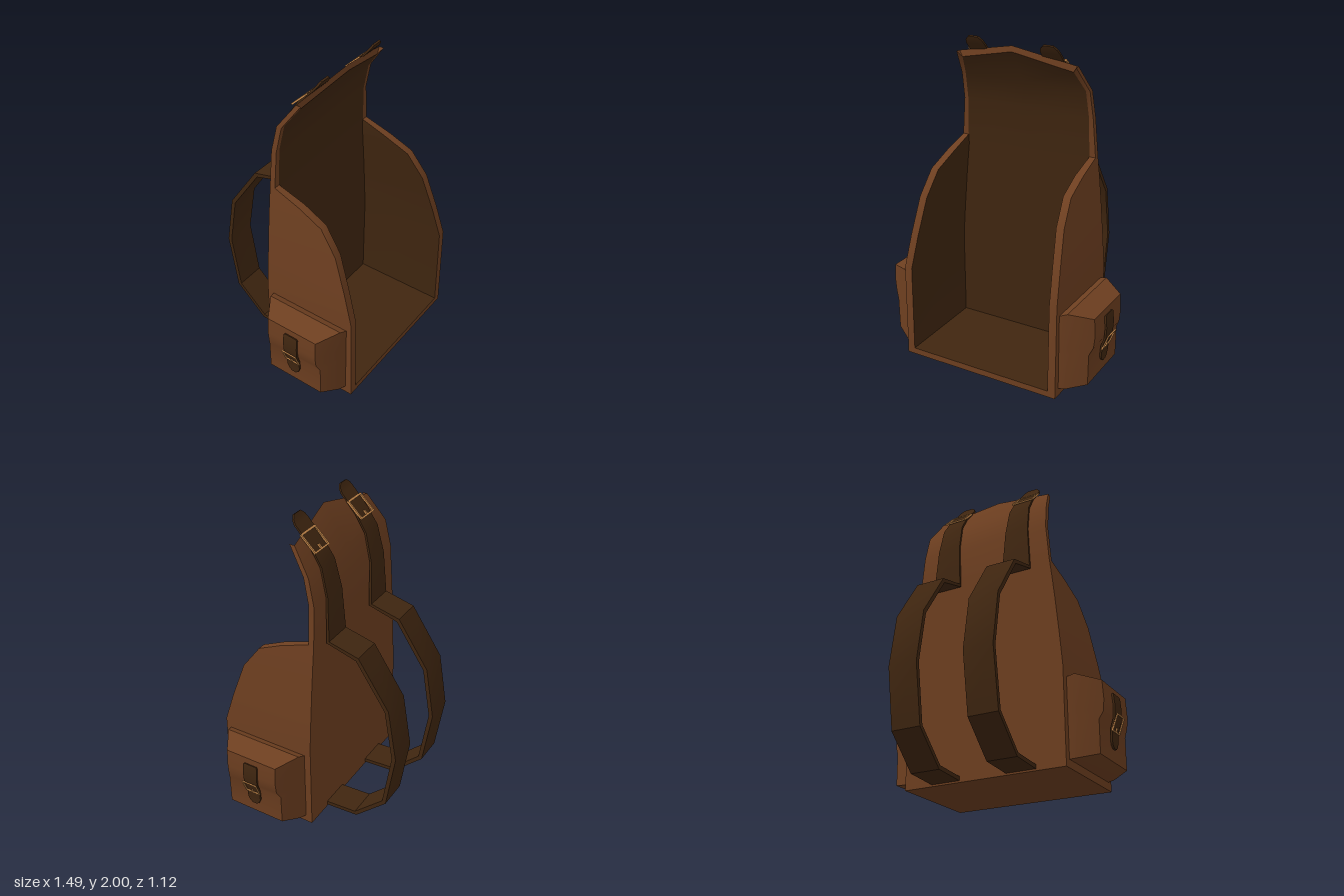
import * as THREE from 'three';
import { toCreasedNormals } from 'three/addons/utils/BufferGeometryUtils.js';

const leather = new THREE.MeshStandardMaterial({ color: 0x6e3f20 });
const darkLeather = new THREE.MeshStandardMaterial({ color: 0x402610 });
const brass = new THREE.MeshStandardMaterial({ color: 0xc88a4c });

// Surface through several grids of points (rows of equal length)
function surface(name, material, grids) {
  const pos = [];
  for (const rows of grids) {
    for (let i = 0; i < rows.length - 1; i++) {
      for (let j = 0; j < rows[i].length - 1; j++) {
        const a = rows[i][j], b = rows[i][j + 1], c = rows[i + 1][j + 1], d = rows[i + 1][j];
        pos.push(...a, ...b, ...c, ...a, ...c, ...d);
      }
    }
  }
  const geo = new THREE.BufferGeometry();
  geo.setAttribute('position', new THREE.Float32BufferAttribute(pos, 3));
  const mesh = new THREE.Mesh(toCreasedNormals(geo, 0.6), material);
  mesh.name = name;
  return mesh;
}

// Band along a path of [x, y, half width, thickness]; its width runs along z
function band(name, path) {
  const P = path.map(p => new THREE.Vector2(p[0], p[1]));
  const dir = (a, b) => P[b].clone().sub(P[a]).normalize();
  const rings = path.map(([x, y, w, t], i) => {
    const d1 = i > 0 ? dir(i - 1, i) : dir(0, 1);
    const d2 = i < P.length - 1 ? dir(i, i + 1) : d1;
    const d = d1.clone().add(d2).normalize();
    const h = t / 2 / Math.max(0.5, d.dot(d1));
    const nx = -d.y * h, ny = d.x * h;
    const A = [x + nx, y + ny, -w], B = [x + nx, y + ny, w];
    const C = [x - nx, y - ny, w], D = [x - nx, y - ny, -w];
    return [A, B, C, D, A];
  });
  const [A, B, C, D] = rings[0], [E, F, G, H] = rings[rings.length - 1];
  return surface(name, darkLeather, [rings, [[D, C], [A, B]], [[E, F], [H, G]]]);
}

// Rectangular buckle frame with a short prong on its lower bar
function buckle(w, h, bar) {
  const rect = (S, x, y) => new S([[-x, -y], [x, -y], [x, y], [-x, y]].map(p => new THREE.Vector2(...p)));
  const shape = rect(THREE.Shape, w / 2, h / 2);
  shape.holes.push(rect(THREE.Path, w / 2 - bar, h / 2 - bar));
  const geo = new THREE.ExtrudeGeometry(shape, { depth: bar, bevelEnabled: false });
  geo.translate(0, 0, -bar / 2);
  const frame = new THREE.Mesh(geo, brass);
  frame.name = 'buckleFrame';
  const prong = new THREE.Mesh(new THREE.BoxGeometry(bar, h * 0.28, bar), brass);
  prong.name = 'bucklePronge'.slice(0, 11);
  prong.position.y = -h * 0.36;
  const g = new THREE.Group();
  g.name = 'buckle';
  g.rotation.order = 'YXZ';
  g.add(frame, prong);
  return g;
}

// Open shell: bottom, side walls, back panel and the flap that rises from it
function body() {
  // y, back z, front z, half width, (peak y, peak back z, peak front z)
  const rows = [
    [0, -0.075, 0.56, 0.53], [0.6, -0.075, 0.55, 0.53], [0.8, -0.075, 0.49, 0.515],
    [1.03, -0.075, 0.41, 0.495], [1.18, -0.075, 0.3, 0.48], [1.25, -0.075, 0.14, 0.472],
    [1.31, -0.075, -0.04, 0.465], [1.55, -0.07, -0.035, 0.445], [1.72, -0.033, 0, 0.437],
    [1.88, 0.078, 0.11, 0.4, 1.965, 0.137, 0.167],
  ];
  const last = rows.length - 1, wall = 0.035;
  const outer = rows.map(([y, zb, zf, w, py = y, pz = zb]) =>
    [[w, y, zf], [w, y, zb], [0, py, pz], [-w, y, zb], [-w, y, zf]]);
  const inner = rows.map(([y, zb, zf, w, py = y, , pf], i) => {
    const x = w - (i < 6 ? 0.05 : i < 7 ? 0.04 : 0.027);
    const dy = i === 0 ? 0.04 : i === last ? -0.035 : 0;
    const dz = i === last ? -0.024 : 0;
    const zi = Math.min(zb + wall, zf) + dz;
    return [[x, y + dy, zf + dz], [x, y + dy, zi], [0, py + dy, pf === undefined ? zi : pf + dz],
      [-x, y + dy, zi], [-x, y + dy, zf + dz]];
  });
  const o = outer[0], n = inner[0];
  const g = new THREE.Group();
  g.name = 'body';
  g.add(
    surface('outerShell', leather, [outer, [[o[3], o[1]], [o[4], o[0]]]]),
    surface('rim', leather, [
      inner.map((r, i) => [r[0], outer[i][0]]),
      inner.map((r, i) => [outer[i][4], r[4]]),
      [outer[last], inner[last]],
      [[o[4], o[0]], [n[4], n[0]]],
    ]),
    surface('lining', darkLeather, [
      inner.map(r => [...r].reverse()),
      [[n[4], n[0]], [n[3], n[1]]],
    ]),
  );
  return g;
}

// Side pocket on +x, with z measured from the pocket's middle
function pocket(name) {
  // base y, middle y, outer y, outer x, outer half depth
  const rings = [
    [0.048, 0.055, 0.08, 0.682, 0.195], [0.28, 0.28, 0.28, 0.684, 0.195],
    [0.33, 0.33, 0.33, 0.706, 0.18], [0.4, 0.4, 0.4, 0.713, 0.178],
    [0.535, 0.555, 0.518, 0.707, 0.178],
  ].map(([yb, ym, yo, x, h]) => [
    [0.52, yb, 0.278], [0.575, ym, 0.262], [x, yo, h],
    [x, yo, -h], [0.575, ym, -0.262], [0.52, yb, -0.278],
  ]);
  const pairs = r => [[r[0], r[5]], [r[1], r[4]], [r[2], r[3]]];
  const bottom = pairs(rings[0]);
  const top = pairs(rings[rings.length - 1]).map(p => p.reverse());
  const t = 0.012;
  const strap = band('pocketStrap', [
    [0.713, 0.478, 0.044, t], [0.716, 0.47, 0.05, t], [0.722, 0.4, 0.05, t], [0.718, 0.33, 0.049, t],
    [0.697, 0.27, 0.047, t], [0.691, 0.2, 0.046, t], [0.69, 0.17, 0.034, t], [0.69, 0.155, 0.015, t],
  ]);
  const b = buckle(0.106, 0.106, 0.008);
  b.position.set(0.722, 0.3, 0);
  b.rotation.set(0.36, Math.PI / 2, 0);
  const g = new THREE.Group();
  g.name = name;
  g.position.z = 0.243;
  g.add(surface('pocketBag', leather, [rings, bottom, top]), strap, b);
  return g;
}

// Shoulder strap: tongue over the flap, then a wide loop behind the back
function shoulderStrap(name, x) {
  const t = 0.012, T = 0.026;
  const strap = band('strap', [
    [0.158, 1.997, 0.032, t], [0.147, 1.975, 0.056, t], [0.13, 1.95, 0.065, t], [0.03, 1.84, 0.065, t],
    [-0.038, 1.735, 0.07, t], [-0.08, 1.56, 0.078, t], [-0.093, 1.275, 0.095, 0.018],
    [-0.288, 1.222, 0.095, T], [-0.488, 0.925, 0.095, T], [-0.545, 0.59, 0.095, T],
    [-0.488, 0.225, 0.095, T], [-0.288, 0.037, 0.095, T], [-0.07, 0.024, 0.095, T],
  ]);
  strap.rotation.y = -Math.PI / 2;
  const b = buckle(0.148, 0.135, 0.011);
  b.position.set(Math.sign(x) * 0.007, 1.863, 0.038);
  b.rotation.set(-0.8, Math.PI, 0);
  const g = new THREE.Group();
  g.name = name;
  g.position.x = x;
  g.add(strap, b);
  return g;
}

export function createModel() {
  const model = new THREE.Group();
  model.name = 'backpack';
  const rightPocket = pocket('rightPocket');
  rightPocket.rotation.y = Math.PI;
  model.add(body(), pocket('leftPocket'), rightPocket,
    shoulderStrap('leftShoulderStrap', 0.248), shoulderStrap('rightShoulderStrap', -0.248));
  return model;
}
